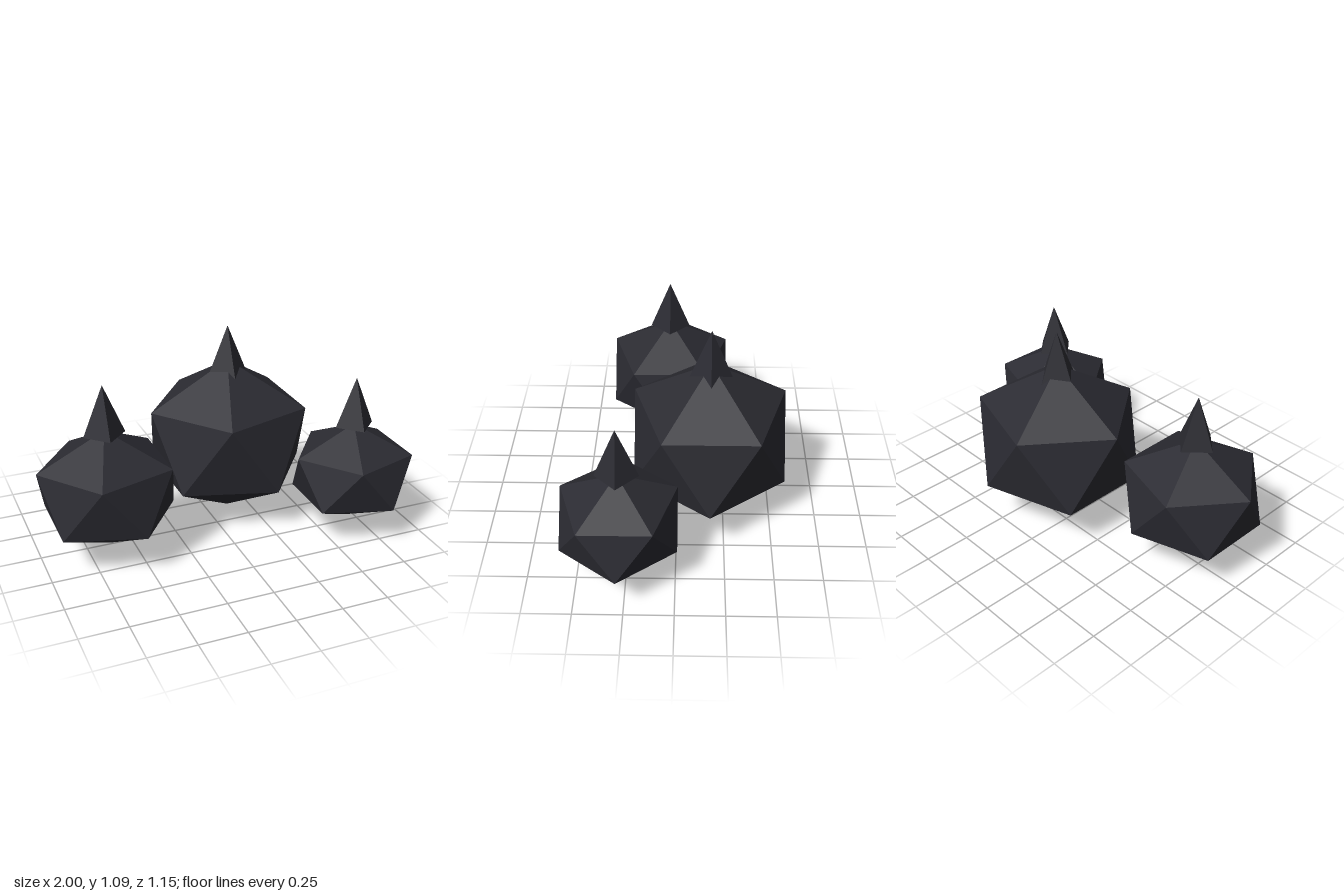
import * as THREE from 'three';

const SPIKE_RADIUS = 0.11;
const SPIKE_HEIGHT = 0.268;

// Icosahedron standing on a vertex, squashed to the given radii
function rockGeometry(rx, ry, rz) {
  const golden = (1 + Math.sqrt(5)) / 2;
  const geometry = new THREE.IcosahedronGeometry(1, 0);
  geometry.rotateZ(Math.atan(1 / golden));
  geometry.scale(rx, ry, rz);
  return geometry;
}

// Four-sided faceted spike with its base on y = 0
function spikeGeometry() {
  const geometry = new THREE.ConeGeometry(SPIKE_RADIUS, SPIKE_HEIGHT, 4).toNonIndexed();
  geometry.translate(0, SPIKE_HEIGHT / 2, 0);
  geometry.computeVertexNormals();
  return geometry;
}

export function createModel() {
  const model = new THREE.Group();
  model.name = 'spikedRocks';

  const darkStone = new THREE.MeshStandardMaterial({ color: 0x2b2b32 });
  darkStone.name = 'darkStone';

  const rocks = [
    { name: 'large', at: [0.13, 0.45, -0.173], radii: [0.495, 0.447, 0.47], spikeBase: 0.822 },
    { name: 'medium', at: [-0.637, 0.373, 0.053], radii: [0.405, 0.329, 0.385], spikeBase: 0.68 },
    { name: 'small', at: [0.675, 0.335, 0.282], radii: [0.363, 0.277, 0.344], spikeBase: 0.607 },
  ];

  for (const { name, at, radii, spikeBase } of rocks) {
    const rock = new THREE.Mesh(rockGeometry(...radii), darkStone);
    rock.name = `${name}Rock`;
    rock.position.set(...at);

    const spike = new THREE.Mesh(spikeGeometry(), darkStone);
    spike.name = `${name}Spike`;
    spike.position.set(at[0], spikeBase, at[2]);

    model.add(rock, spike);
  }
  return model;
}
